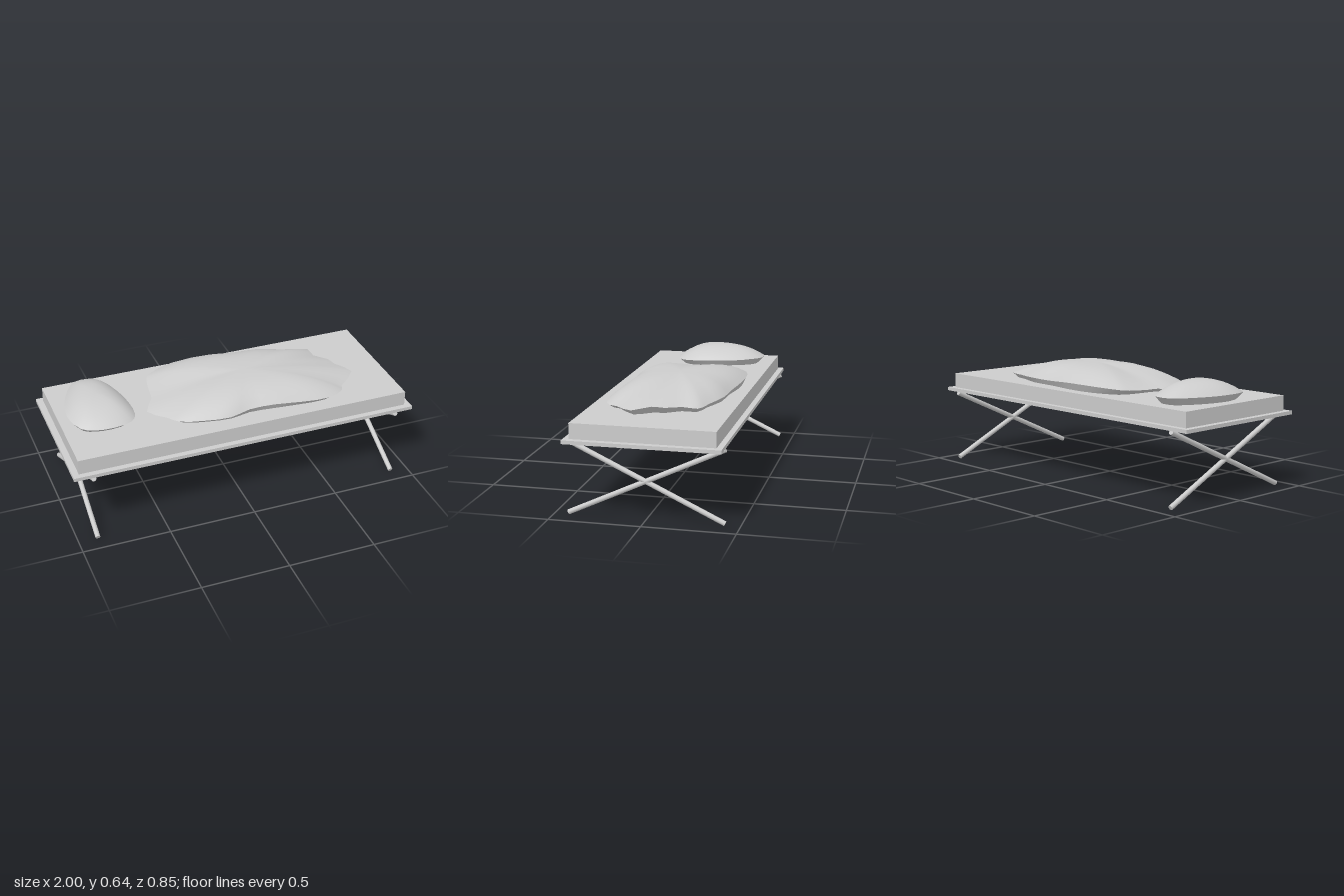
import * as THREE from 'three';
import { toCreasedNormals } from 'three/addons/utils/BufferGeometryUtils.js';

// Soft mound: rings shrink from a rim outline [x, y, z] towards a crest point, then tuck in underneath.
function mound(outline, crest, bulge, tuck, baseY) {
  const curve = new THREE.CatmullRomCurve3(outline.map(p => new THREE.Vector3(...p)), true);
  const n = outline.length * 2;
  const rim = Array.from({ length: n }, (_, i) => curve.getPoint(i / n));
  const c = new THREE.Vector3(...crest);
  const pos = [c.x, c.y, c.z], idx = [];
  const addRing = f => rim.forEach(r => { const v = f(r); pos.push(v.x, v.y, v.z); });
  const scales = [0.2, 0.4, 0.55, 0.7, 0.82, 0.92, 1];
  for (const s of scales) {
    addRing(r => new THREE.Vector3(
      c.x + s * (r.x - c.x),
      r.y + (c.y - r.y) * (1 - Math.pow(s, bulge(r, c))),
      c.z + s * (r.z - c.z)));
  }
  addRing(r => new THREE.Vector3(c.x + tuck * (r.x - c.x), baseY, c.z + tuck * (r.z - c.z)));
  for (let i = 0; i < n; i++) {
    const j = (i + 1) % n;
    idx.push(0, 1 + j, 1 + i);
    for (let k = 0; k < scales.length; k++) {
      const a = 1 + k * n, b = a + n;
      idx.push(a + i, b + j, b + i, a + i, a + j, b + j);
    }
  }
  const g = new THREE.BufferGeometry();
  g.setAttribute('position', new THREE.Float32BufferAttribute(pos, 3));
  g.setIndex(idx);
  return toCreasedNormals(g, 0.8);
}

export function createModel() {
  const group = new THREE.Group();
  const grey = new THREE.MeshStandardMaterial({ color: 0xcccccc });
  grey.name = 'light grey';

  const add = (name, geometry) => {
    const mesh = new THREE.Mesh(geometry, grey);
    mesh.name = name;
    group.add(mesh);
    return mesh;
  };

  // Bed board and mattress
  add('board', new THREE.BoxGeometry(2, 0.02, 0.84)).position.y = 0.425;
  add('mattress', new THREE.BoxGeometry(1.93, 0.085, 0.776)).position.y = 0.4775;

  // Crossed legs at both ends
  const run = 0.842, rise = 0.395;
  const legGeometry = new THREE.CylinderGeometry(0.014, 0.014, Math.hypot(run, rise), 10);
  for (const x of [-0.893, 0.893]) {
    for (const side of [-1, 1]) {
      const leg = add('crossLeg', legGeometry);
      leg.position.set(x, 0.2125, 0);
      leg.rotation.x = side * Math.atan2(run, rise);
    }
  }

  // Pillow
  add('pillow', mound([
    [-0.79, 0.56, -0.325], [-0.70, 0.56, -0.33], [-0.64, 0.56, -0.28], [-0.59, 0.555, -0.17],
    [-0.56, 0.555, -0.02], [-0.56, 0.55, 0.11], [-0.60, 0.55, 0.17], [-0.70, 0.55, 0.195],
    [-0.81, 0.55, 0.185], [-0.88, 0.555, 0.15], [-0.92, 0.56, 0.03], [-0.91, 0.56, -0.08],
    [-0.88, 0.56, -0.18], [-0.83, 0.56, -0.28],
  ], [-0.735, 0.632, -0.06], () => 2.4, 0.86, 0.519));

  // Rumpled blanket: fuller across the bed, flatter along it
  const blanketBulge = (r, c) => {
    const a = Math.atan2(Math.abs(r.z - c.z) * 2, Math.abs(r.x - c.x));
    return 1.75 + 2 * Math.sin(a) ** 2;
  };
  add('blanket', mound([
    [-0.39, 0.545, -0.22], [-0.36, 0.55, -0.27], [-0.20, 0.56, -0.33], [0, 0.56, -0.335],
    [0.17, 0.55, -0.31], [0.35, 0.55, -0.30], [0.50, 0.545, -0.25], [0.62, 0.545, -0.215],
    [0.62, 0.55, -0.13], [0.68, 0.555, -0.05], [0.69, 0.56, 0.02], [0.755, 0.55, 0.115],
    [0.64, 0.54, 0.225], [0.62, 0.54, 0.27], [0.52, 0.54, 0.315], [0.36, 0.545, 0.31],
    [0.20, 0.555, 0.295], [0.05, 0.55, 0.285], [-0.07, 0.54, 0.31], [-0.22, 0.54, 0.29],
    [-0.35, 0.54, 0.25], [-0.40, 0.535, 0.18], [-0.48, 0.526, 0.07], [-0.42, 0.54, -0.03],
    [-0.41, 0.54, -0.10],
  ], [0.12, 0.638, 0], blanketBulge, 0.94, 0.519));

  return group;
}
